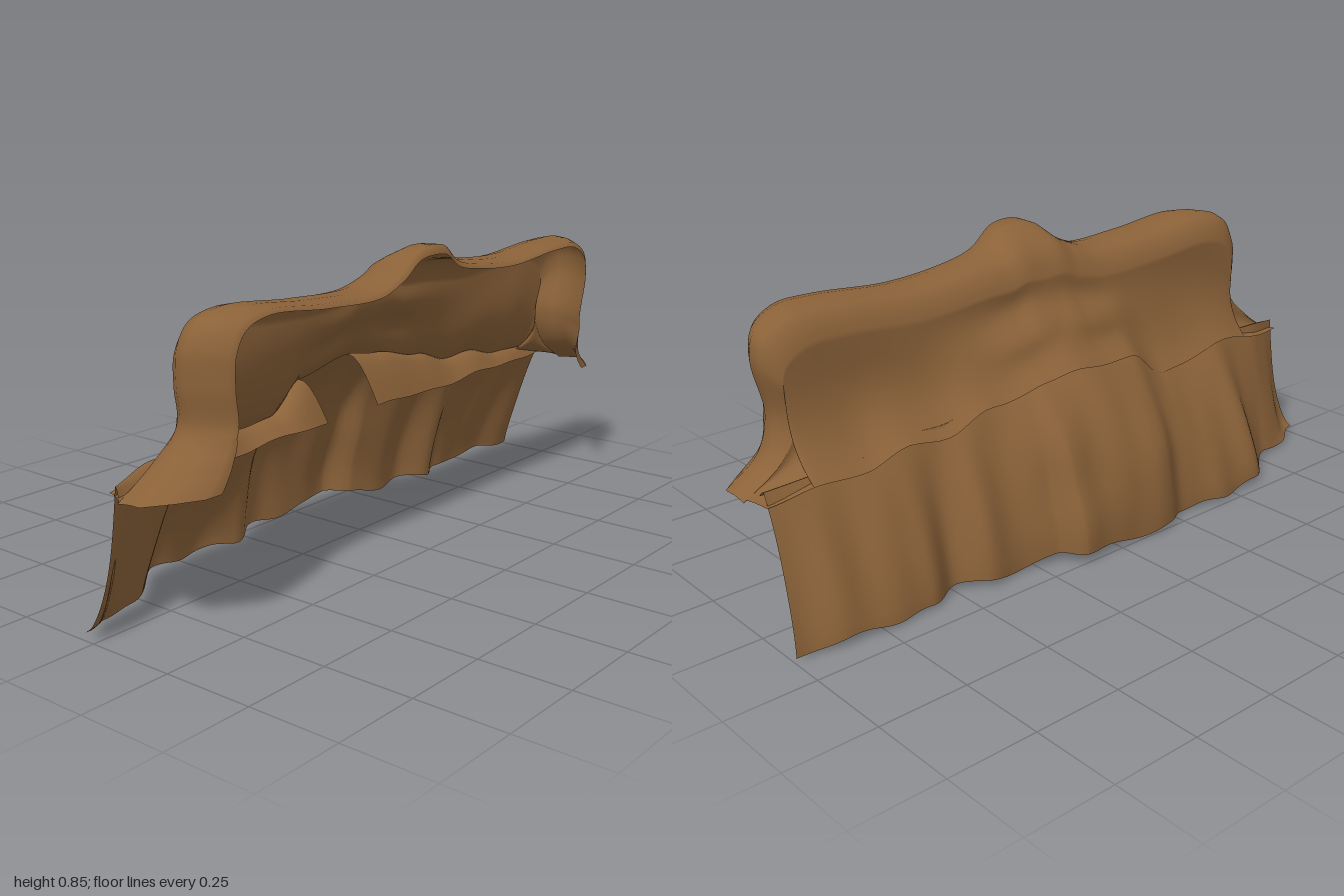
import * as THREE from 'three';

// Smooth interpolation through a short list of [position, value] pairs
function ease(table, x) {
  if (x <= table[0][0]) return table[0][1];
  for (let i = 1; i < table.length; i++) {
    const [x0, a] = table[i - 1], [x1, b] = table[i];
    if (x <= x1) {
      const t = (x - x0) / (x1 - x0);
      return a + (b - a) * t * t * (3 - 2 * t);
    }
  }
  return table[table.length - 1][1];
}
const mix = THREE.MathUtils.lerp;
const smooth = THREE.MathUtils.smoothstep;
const bell = (x, c, w) => Math.exp(-(((x - c) / w) ** 2));

// Cloth sheet from rows of points
function sheet(name, rows, material) {
  const n = rows[0].length, pos = [], idx = [];
  rows.forEach(row => row.forEach(p => pos.push(p[0], p[1], p[2])));
  for (let j = 0; j < rows.length - 1; j++) {
    for (let i = 0; i < n - 1; i++) {
      const a = j * n + i, b = a + 1, c = a + n, d = c + 1;
      idx.push(a, b, c, b, d, c);
    }
  }
  const g = new THREE.BufferGeometry();
  g.setAttribute('position', new THREE.Float32BufferAttribute(pos, 3));
  g.setIndex(idx);
  g.computeVertexNormals();
  const mesh = new THREE.Mesh(g, material);
  mesh.name = name;
  return mesh;
}

// Seam where the hood meets the skirt
const seamY = x => ease([[-1, 0.395], [-0.8, 0.42], [-0.62, 0.445], [-0.45, 0.415], [-0.35, 0.42],
  [-0.22, 0.5], [0, 0.525], [0.12, 0.51], [0.3, 0.475], [0.45, 0.435], [0.56, 0.44], [0.7, 0.41],
  [1, 0.4]], x);
const seamZ = x => ease([[-1, 0.055], [-0.8, 0.015], [-0.3, -0.025], [0, -0.045],
  [0.3, -0.025], [1, -0.005]], x);

// Hem of the skirt
const hemZ = x => ease([[-1, -0.03], [-0.9, -0.07], [-0.8, -0.09], [-0.6, -0.21], [-0.45, -0.23],
  [-0.3, -0.2], [-0.2, -0.25], [0, -0.245], [0.14, -0.25], [0.19, -0.195], [0.3, -0.165],
  [0.4, -0.18], [0.5, -0.13], [0.6, -0.165], [0.7, -0.18], [0.85, -0.165], [1, -0.15]], x);
const hemY = x => 0.023 + 0.005 * Math.sin(x * 17) + 0.004 * Math.sin(x * 31 + 1)
  - 0.014 * bell(x, -0.3, 0.06) + 0.015 * bell(x, 0.15, 0.1);

const along = (left, right, count) => Array.from({ length: count + 1 }, (_, i) => mix(left, right, i / count));

// Slanting skirt hanging from the seam
function skirt(material) {
  const rows = [], down = 26;
  for (let k = 0; k <= down; k++) {
    const v = k / down;
    rows.push(along(mix(-0.955, -1, v * v), mix(0.967, 0.995, v * v), 140).map(x => {
      const round = ease([[-1, 0.5], [-0.8, 1], [-0.5, 1.5], [-0.1, 2.3], [0.15, 2.2], [0.35, 1.5], [1, 1.2]], x);
      const folds = 0.007 * Math.sin(x * 26 + 2 * v) + 0.004 * Math.sin(x * 43 - v);
      const swag = 0.02 * bell(x, 0.13, 0.09) * bell(v, 0.6, 0.2) - 0.012 * bell(x, -0.2, 0.1) * bell(v, 0.5, 0.2);
      return [x, mix(seamY(x), hemY(x), v),
        mix(seamZ(x), hemZ(x), 1 - Math.pow(1 - v, round)) + folds * Math.sin(v * Math.PI * 0.8) + swag * Math.min(1, v * 5)];
    }));
  }
  return sheet('skirt', rows, material);
}

// Ledge of cloth folded forward from the seam, with straight or slanted ends
function ledge(name, topLeft, topRight, lipLeft, lipRight, material) {
  const rows = [];
  for (let k = 0; k < 6; k++) {
    const t = k / 5;
    rows.push(along(mix(lipLeft, topLeft, t), mix(lipRight, topRight, t), 60).map(x => {
      const lipY = 0.378 + 0.005 * Math.sin(x * 14) + 0.003 * Math.sin(x * 27);
      const lipZ = ease([[-1, 0.06], [-0.4, 0.045], [0.4, 0.04], [1, 0.015]], x);
      return [x, mix(lipY, seamY(x), Math.sin(t * Math.PI / 2)), mix(lipZ, seamZ(x), t)];
    }));
  }
  return sheet(name, rows, material);
}

// Hood open at the front, with flared sides and a raised crest
function hood(material) {
  const outline = new THREE.CatmullRomCurve3([
    [-0.97, 0.378], [-0.88, 0.44], [-0.81, 0.51], [-0.815, 0.62], [-0.81, 0.71], [-0.775, 0.765],
    [-0.69, 0.79], [-0.45, 0.773], [-0.22, 0.77], [-0.13, 0.808], [-0.055, 0.864], [0.055, 0.864],
    [0.14, 0.812], [0.25, 0.788], [0.45, 0.773], [0.7, 0.79], [0.82, 0.785], [0.885, 0.745],
    [0.9, 0.68], [0.87, 0.53], [0.9, 0.44], [0.995, 0.372],
  ].map(([x, y]) => new THREE.Vector3(x, y, 0))).getPoints(170);

  // Depth, width scale, top drop, crest drop, side pinch
  const rings = [
    [0.238, 0.92, 0.02, 0.015, 0.09], [0.23, 0.935, 0.008, 0.0, 0.06], [0.19, 0.965, 0, 0.012, 0.03],
    [0.14, 0.995, 0, 0.04, 0], [0.105, 0.99, 0.008, 0.055, 0], [0.08, 0.972, 0.03, 0.065, 0],
    [0.062, 0.945, 0.07, 0.07, 0],
  ];
  const rows = rings.map(([z, scale, drop, crest, pinch], r) => outline.map(p => {
    const flare = THREE.MathUtils.clamp((0.5 - p.y) / 0.12, 0, 1);
    const width = r > 3 ? mix(scale, 0.99, flare) : scale;
    const x = 0.045 + (p.x - 0.045) * width - Math.sign(p.x) * pinch * flare;
    const c = bell(p.x, 0, 0.13);
    const y = p.y - drop * smooth(p.y, 0.5, 0.78) - crest * c - 0.003 * r * flare;
    return [x, y, z + (r < 2 ? 0.017 * c : 0)];
  }));

  // Back wall, upright at the sides, kicking backwards over the skirt
  const top = rows[rows.length - 1], steps = 22;
  for (let k = 1; k <= steps; k++) {
    const s = k / steps;
    rows.push(top.map(([x, y, z]) => {
      const side = Math.abs(x);
      const ey = Math.min(seamY(x) - 0.025, mix(0.52, 0.395, smooth(side, 0.1, 0.92)));
      const ez = seamZ(x) - 0.027 - 0.012 * bell(x, 0, 0.2);
      const power = mix(1.7, 3.5, smooth(side, 0.15, 0.7));
      const ripple = 0.012 * Math.sin(s * Math.PI) * (Math.sin(x * 9 + s * 4) * 0.4
        + 1.2 * bell(side, 0.12, 0.13) * Math.sin(s * 9));
      return [mix(x, x * 0.99, s), mix(y, ey, s) + 0.005 * s * Math.sin(x * 24),
        mix(z, ez, Math.pow(s, power)) + ripple * (1 - smooth(side, 0.7, 0.85))];
    }));
  }
  return sheet('hood', rows, material);
}

export function createModel() {
  const cloth = new THREE.MeshStandardMaterial({ color: 0x8b6239, side: THREE.DoubleSide });
  cloth.name = 'brown cloth';
  const group = new THREE.Group();
  group.name = 'drapedCover';
  group.add(
    hood(cloth),
    skirt(cloth),
    ledge('rightLedge', -0.955, -0.23, -0.955, -0.19, cloth),
    ledge('leftLedge', 0, 0.967, 0.03, 0.967, cloth),
  );
  return group;
}
